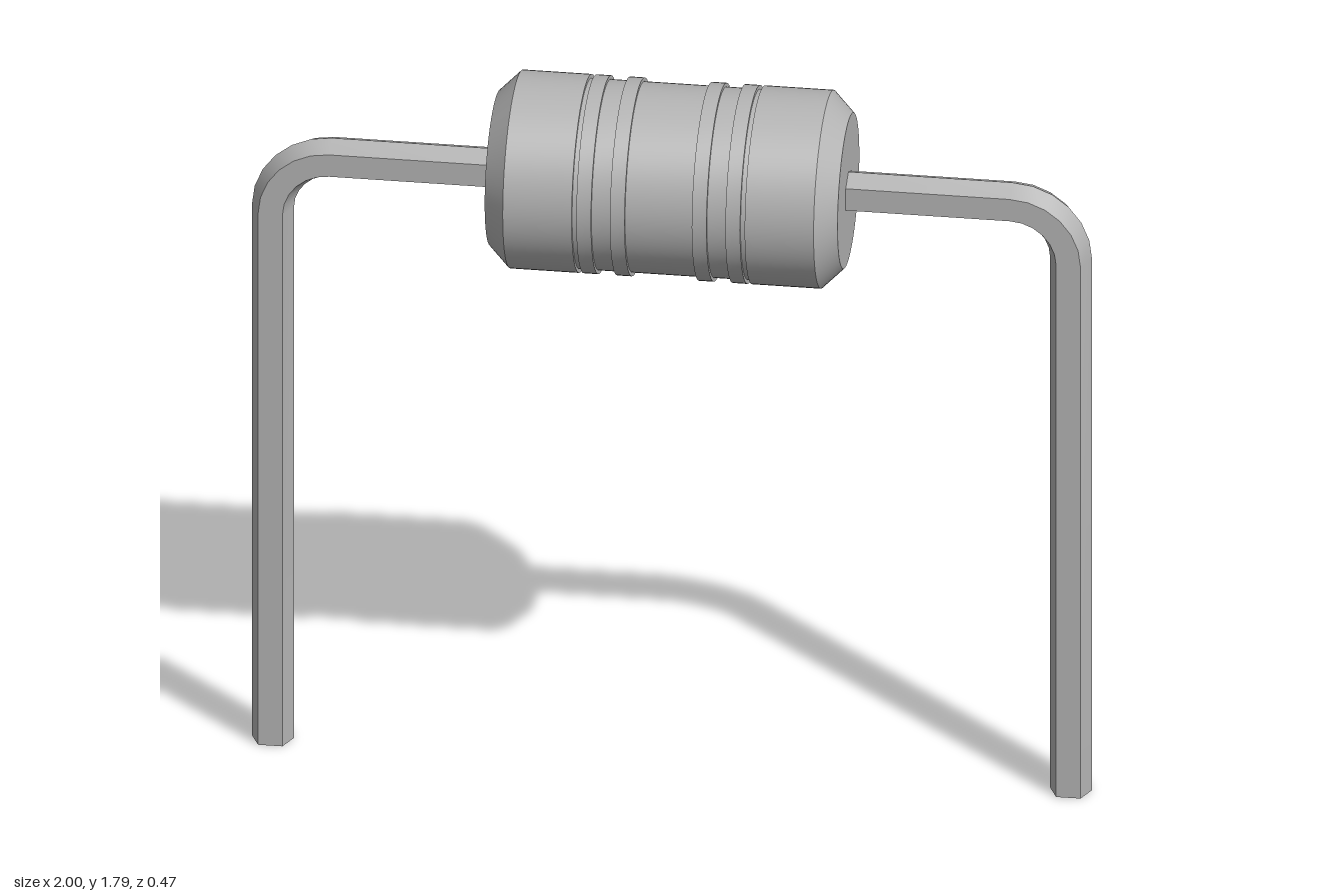
import * as THREE from 'three';
import { toCreasedNormals } from 'three/addons/utils/BufferGeometryUtils.js';

const AXIS_Y = 1.555; // height of the body's axis
const LEG_X = 0.95;
const BEND = 0.14;

// Turned body: end caps with chamfers, a waist and four raised rings
function bodyGeometry() {
  const R = 0.235, W = 0.226;
  const half = [
    [W, 0], [W, 0.08], [R, 0.08], [R, 0.115], [W, 0.115],
    [W, 0.16], [R, 0.16], [R, 0.195], [W, 0.195],
    [W, 0.206], [R, 0.206], [R, 0.37], [0.185, 0.42], [0, 0.42],
  ];
  const mirrored = half.slice(1).reverse().map(([r, a]) => [r, -a]);
  const profile = [...mirrored, ...half].map(([r, a]) => new THREE.Vector2(r, a));
  const geo = new THREE.LatheGeometry(profile, 64);
  geo.rotateZ(-Math.PI / 2);
  return toCreasedNormals(geo, 0.5);
}

// Six-sided wire swept up the leg, round the bend and into the body
function leadGeometry() {
  const section = [[0.05, 0], [0.029, 0.046], [-0.029, 0.046], [-0.05, 0], [-0.029, -0.046], [0.029, -0.046]];
  const stations = [[LEG_X, 0, 0]];
  const steps = 6;
  for (let i = 0; i <= steps; i++) {
    const a = (i / steps) * Math.PI / 2;
    stations.push([LEG_X - BEND + BEND * Math.cos(a), AXIS_Y - BEND + BEND * Math.sin(a), a]);
  }
  stations.push([0.4, AXIS_Y, Math.PI / 2]);

  const pos = [], index = [], n = section.length;
  for (const [x, y, a] of stations)
    for (const [u, z] of section) pos.push(x + u * Math.cos(a), y + u * Math.sin(a), z);
  for (let i = 0; i < stations.length - 1; i++)
    for (let j = 0; j < n; j++) {
      const a = i * n + j, b = i * n + (j + 1) % n;
      index.push(a, a + n, b, b, a + n, b + n);
    }
  // foot cap
  for (let j = 1; j < n - 1; j++) index.push(0, j, j + 1);

  const geo = new THREE.BufferGeometry();
  geo.setAttribute('position', new THREE.Float32BufferAttribute(pos, 3));
  geo.setIndex(index);
  return toCreasedNormals(geo, 0.5);
}

export function createModel() {
  const grey = new THREE.MeshStandardMaterial({ color: 0xb4b4b4 });
  grey.name = 'grey';
  const model = new THREE.Group();
  model.name = 'resistor';

  const body = new THREE.Mesh(bodyGeometry(), grey);
  body.name = 'body';
  body.position.y = AXIS_Y;
  model.add(body);

  const leadGeo = leadGeometry();
  for (const [name, turn] of [['leftLead', 0], ['rightLead', Math.PI]]) {
    const lead = new THREE.Mesh(leadGeo, grey);
    lead.name = name;
    lead.rotation.y = turn;
    model.add(lead);
  }
  return model;
}
